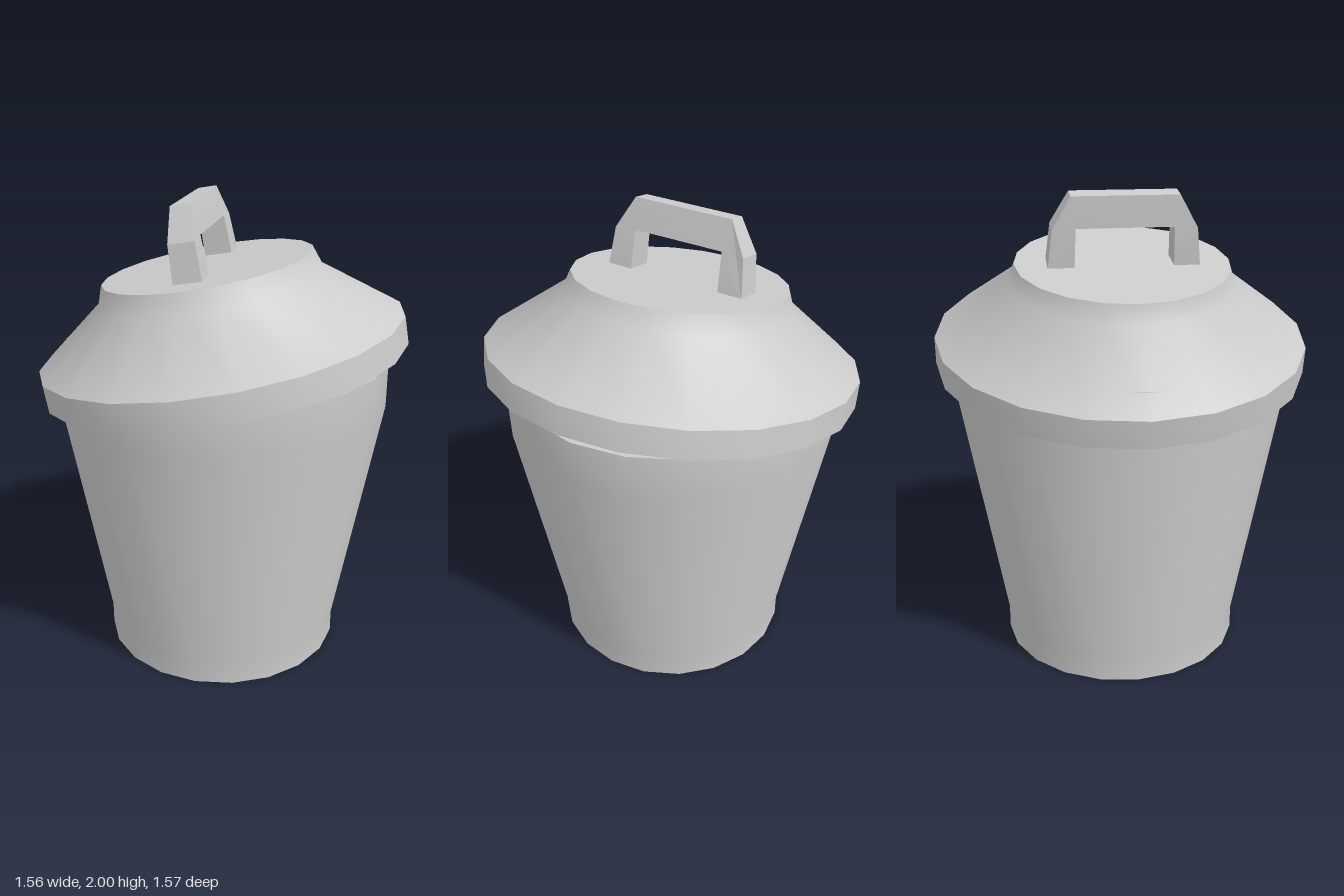
import * as THREE from 'three';
import { toCreasedNormals } from 'three/addons/utils/BufferGeometryUtils.js';

const SIDES = 20;
const CREASE = THREE.MathUtils.degToRad(40);
const material = new THREE.MeshStandardMaterial({ color: 0xcccccc });

function part(name, geometry) {
  const mesh = new THREE.Mesh(geometry, material);
  mesh.name = name;
  return mesh;
}

// Turned solid from a closed [radius, height] profile, running outward along the underside first
function turned(name, profile) {
  const points = profile.map(([r, y]) => new THREE.Vector2(r, y));
  return part(name, toCreasedNormals(new THREE.LatheGeometry(points, SIDES), CREASE));
}

// Arched grip standing on the lid, narrowing toward its top
function makeHandle() {
  const half = [[0.315, -0.02], [0.295, 0.155], [0.22, 0.288]];
  const inner = [[0.2, 0.161], [0.205, -0.02]];
  const mirror = (list) => list.map(([z, y]) => [-z, y]).reverse();
  const outline = [...half, ...mirror(half), ...mirror(inner), ...inner];
  const shape = new THREE.Shape(outline.map(([z, y]) => new THREE.Vector2(z, y)));
  const geometry = new THREE.ExtrudeGeometry(shape, { depth: 2, bevelEnabled: false });
  geometry.translate(0, 0, -1);

  // Scale the thickness by height
  const pos = geometry.attributes.position;
  for (let i = 0; i < pos.count; i++) {
    const y = pos.getY(i);
    const thickness = y < 0.17 ? 0.06 - 0.03 * Math.max(y, 0) : 0.04;
    pos.setZ(i, pos.getZ(i) * thickness);
  }
  geometry.rotateY(Math.PI / 2);
  geometry.computeVertexNormals();
  return part('handle', toCreasedNormals(geometry, 0.2));
}

export function createModel() {
  const model = new THREE.Group();
  model.name = 'trashCan';

  // Tapered bin with a recessed base and a hollow inside
  model.add(turned('bin', [
    [0, 0.07], [0.44, 0.07], [0.44, 0], [0.52, 0], [0.52, 0.1],
    [0.705, 1.15], [0.705, 1.35], [0.65, 1.35], [0.65, 1.15],
    [0.465, 0.12], [0, 0.12],
  ]));

  // Hollow lid resting askew, carrying the handle
  const lid = new THREE.Group();
  lid.name = 'lid';
  lid.add(turned('lidShell', [
    [0, 0.38], [0.41, 0.38], [0.435, 0.31], [0.73, 0.09], [0.73, 0],
    [0.783, 0], [0.783, 0.117], [0.475, 0.35], [0.447, 0.428], [0, 0.428],
  ]));
  const handle = makeHandle();
  handle.position.y = 0.428;
  lid.add(handle);
  lid.position.set(0.01, 1.29, 0);
  lid.rotation.z = THREE.MathUtils.degToRad(10.3);
  model.add(lid);

  return model;
}
